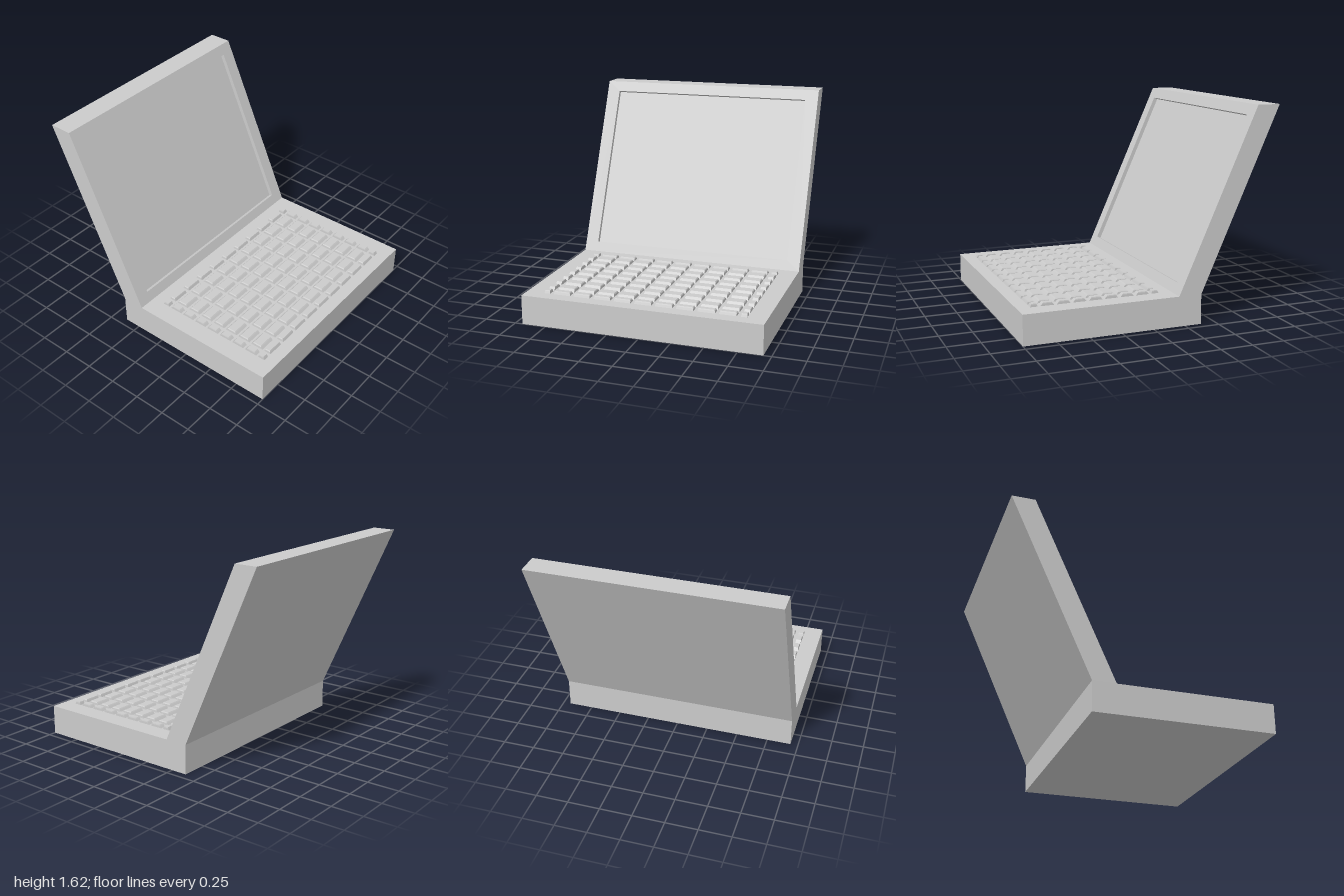
import * as THREE from 'three';

const W = 0.94; // half width along z
const BASE_TOP = 0.23;
const material = new THREE.MeshStandardMaterial({ color: 0xcccccc, flatShading: true });

// Flat four-cornered panels, corners counter-clockwise seen from outside
function panels(quads) {
  const pos = [];
  for (const [a, b, c, d] of quads) pos.push(...a, ...b, ...c, ...a, ...c, ...d);
  const geo = new THREE.BufferGeometry();
  geo.setAttribute('position', new THREE.Float32BufferAttribute(pos, 3));
  geo.computeVertexNormals();
  return geo;
}

function add(parent, geo, name) {
  const mesh = new THREE.Mesh(geo, material);
  mesh.name = name;
  parent.add(mesh);
  return mesh;
}

// Side profile swept across the width; the edge numbered skip stays open
function shell(profile, skip) {
  const quads = [];
  profile.forEach(([x, y], i) => {
    if (skip.includes(i)) return;
    const [u, v] = profile[(i + 1) % profile.length];
    quads.push([[x, y, W], [x, y, -W], [u, v, -W], [u, v, W]]);
  });
  const side = (z) => profile.map(([x, y]) => [x, y, z]);
  quads.push(side(W), side(-W).reverse());
  return panels(quads);
}

// Key cap: a box that tapers upward, with a softened top edge
function keyGeometry(width, height, depth) {
  const geo = new THREE.BoxGeometry(1, 1, 1, 1, 2, 1);
  const p = geo.attributes.position;
  const levels = [[0, 1, 1], [0.7, 0.75, 0.97], [1, 0.62, 0.89]];
  for (let i = 0; i < p.count; i++) {
    const [y, sx, sz] = levels[Math.round((p.getY(i) + 0.5) * 2)];
    p.setXYZ(i, p.getX(i) * sx * width, y * height, p.getZ(i) * sz * depth);
  }
  const flat = geo.toNonIndexed();
  flat.computeVertexNormals();
  return flat;
}

export function createModel() {
  const model = new THREE.Group();
  model.name = 'laptop';

  // Base block, covered at the hinge by the lid
  const base = [[-0.38, 0], [1, 0], [1, BASE_TOP], [-0.38, BASE_TOP]];
  add(model, shell(base, []), 'base');

  // Leaning lid: back, sides and top
  const foot = new THREE.Vector3(-0.2, BASE_TOP, 0);
  const tip = new THREE.Vector3(-0.82, 1.62, 0);
  const lid = [[-0.38, BASE_TOP], [foot.x, foot.y], [tip.x, tip.y], [-1, 1.62]];
  add(model, shell(lid, [0, 1]), 'lid');

  // Lid front in its own tilted plane: x across, y up the slope, z outward
  const up = tip.clone().sub(foot);
  const length = up.length();
  up.normalize();
  const across = new THREE.Vector3(0, 0, -1);
  const front = new THREE.Group();
  front.name = 'lidFront';
  front.quaternion.setFromRotationMatrix(
    new THREE.Matrix4().makeBasis(across, up, across.clone().cross(up)));
  front.position.copy(foot);
  model.add(front);

  const rect = (x, y0, y1) => [[-x, y0], [x, y0], [x, y1], [-x, y1]];
  const opening = rect(0.832, 0.083, 1.435);
  const toPoints = (list) => list.map(([x, y]) => new THREE.Vector2(x, y));
  const bezel = new THREE.Shape(toPoints(rect(W, 0, length)));
  bezel.holes.push(new THREE.Path(toPoints(opening)));
  add(front, new THREE.ShapeGeometry(bezel), 'bezel');

  // Sunken screen with its four inner walls
  const depth = -0.033;
  add(front, panels([opening.map(([x, y]) => [x, y, depth])]), 'screen');
  add(front, panels(opening.map(([x, y], i) => {
    const [u, v] = opening[(i + 1) % 4];
    return [[x, y, 0], [u, v, 0], [u, v, depth], [x, y, depth]];
  })), 'screenRecess');

  // Key grid: full keys inside, narrow keys around the border
  const keyboard = new THREE.Group();
  keyboard.name = 'keyboard';
  model.add(keyboard);
  const line = (count, pitch, size, endSize, endAt) => {
    const cells = [[-endAt, endSize], [endAt, endSize]];
    for (let i = 0; i < count; i++) cells.push([(i - (count - 1) / 2) * pitch, size]);
    return cells;
  };
  const columns = line(7, 0.1232, 0.105, 0.058, 0.47);
  const rows = line(9, 0.1626, 0.132, 0.045, 0.771);
  for (const [x, w] of columns) {
    for (const [z, d] of rows) {
      const key = add(keyboard, keyGeometry(w, 0.024, d), 'key');
      key.position.set(0.402 + x, BASE_TOP, z);
    }
  }
  return model;
}
